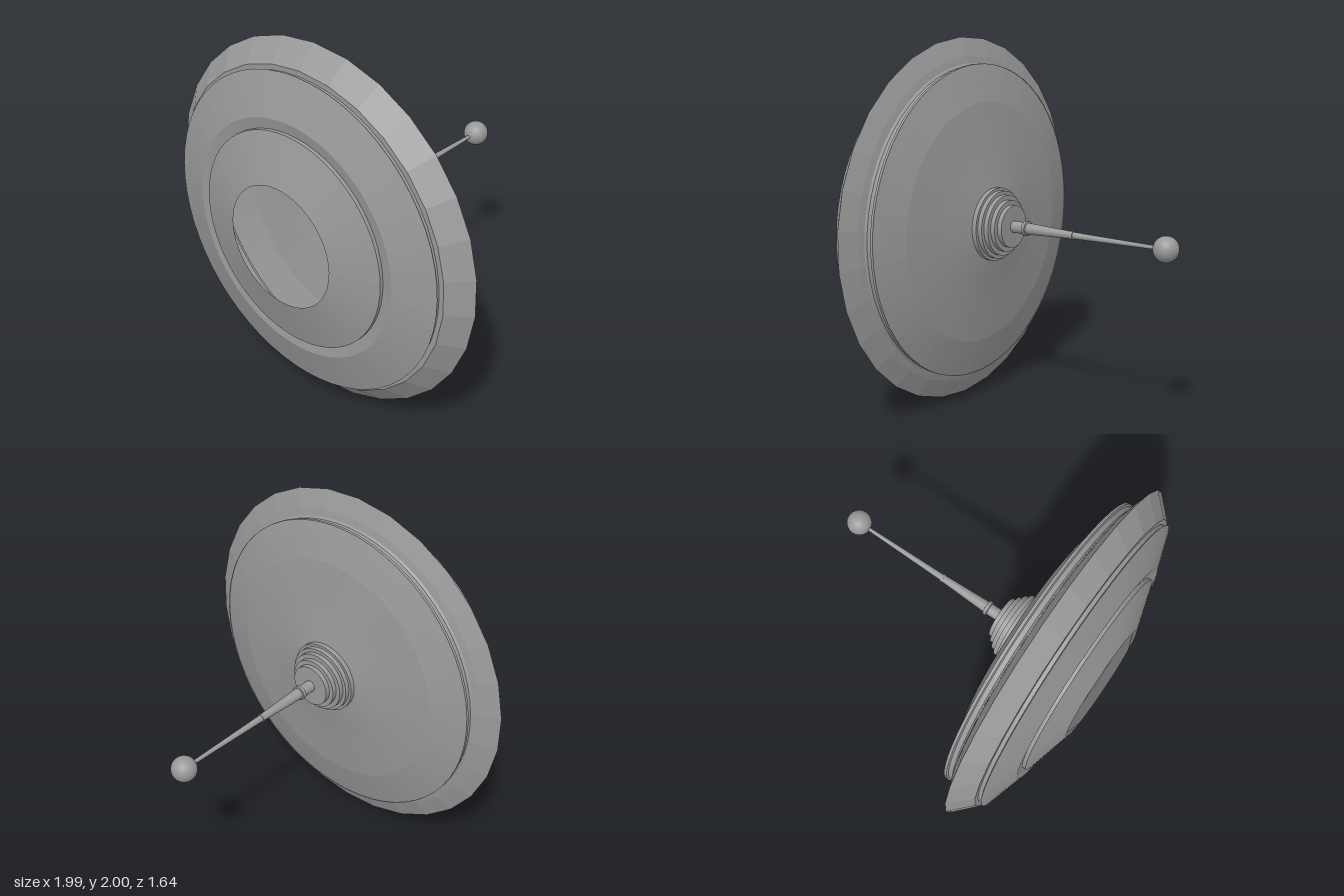
import * as THREE from 'three';
import { mergeGeometries } from 'three/addons/utils/BufferGeometryUtils.js';

const grey = new THREE.MeshStandardMaterial({ color: 0x999999, side: THREE.DoubleSide });
grey.name = 'metal grey';

// Turns a [radius, z] profile (back to front) about the z axis.
// Every profile segment is its own band, so the rings keep crisp edges.
function turned(name, profile, sides, faceted = false) {
  const bands = [];
  for (let i = 0; i < profile.length - 1; i++) {
    const pts = [profile[i], profile[i + 1]].map(([r, z]) => new THREE.Vector2(r, z));
    let g = new THREE.LatheGeometry(pts, sides);
    if (faceted) {
      g = g.toNonIndexed();
      g.computeVertexNormals();
    }
    bands.push(g.rotateX(Math.PI / 2));
  }
  const mesh = new THREE.Mesh(mergeGeometries(bands), grey);
  mesh.name = name;
  return mesh;
}

export function createModel() {
  const group = new THREE.Group();
  group.name = 'antennaDish';

  // Hollow front: stepped cone around an open mouth
  group.add(turned('frontCone', [[0.59, 0.725], [0.59, 0.745], [0.33, 0.82]], 60, true));
  group.add(turned('frontPlate', [
    [0.86, 0.64], [0.86, 0.66], [0.87, 0.665], [0.65, 0.735], [0.59, 0.725],
  ], 60, true));

  // Wide faceted rim
  group.add(turned('outerRim', [
    [0.86, 0.485], [0.9, 0.495], [1, 0.535], [0.89, 0.64], [0.86, 0.64],
  ], 30, true));

  // Grooved band and shallow rear dome
  group.add(turned('rearBand', [
    [0.86, 0.43], [0.86, 0.445], [0.85, 0.45], [0.85, 0.475], [0.86, 0.485],
  ], 60));
  group.add(turned('rearDome', [
    [0.2, 0.315], [0.39, 0.345], [0.66, 0.38], [0.79, 0.415], [0.86, 0.435],
  ], 60, true));

  // Hollow stepped hub
  const radii = [0.115, 0.14, 0.165, 0.185, 0.2];
  const hub = [[0.03, 0.185]];
  radii.forEach((r, i) => hub.push([r, 0.185 + i * 0.026], [r, 0.185 + (i + 1) * 0.026]));
  group.add(turned('steppedHub', hub, 60));

  // Tapered rod with collar and small ring
  group.add(turned('rod', [
    [0.01, -0.69], [0.018, -0.2], [0.022, -0.2], [0.022, -0.185], [0.02, -0.185],
    [0.031, 0.09], [0.04, 0.092], [0.04, 0.11], [0.032, 0.112], [0.032, 0.187],
  ], 24));

  // Ball at the tip
  const ball = new THREE.Mesh(new THREE.SphereGeometry(0.068, 32, 20), grey);
  ball.name = 'tipBall';
  ball.position.z = -0.752;
  group.add(ball);

  group.position.y = 1;
  const root = new THREE.Group();
  root.add(group);
  return root;
}
